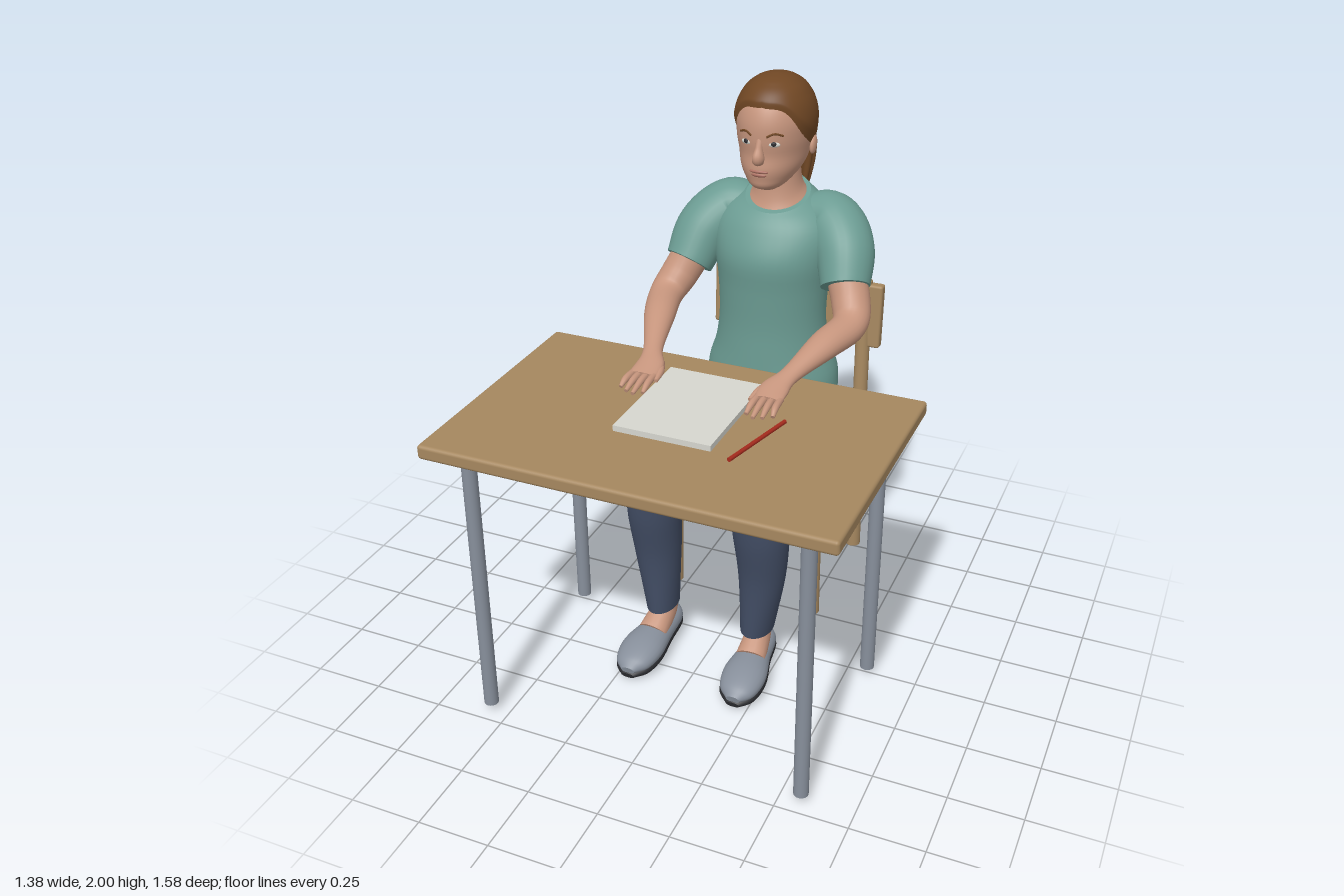
import * as THREE from 'three';
import { RoundedBoxGeometry } from 'three/addons/geometries/RoundedBoxGeometry.js';

const mat = (name, color) => {
  const m = new THREE.MeshStandardMaterial({ color });
  m.name = name;
  return m;
};

// Closed surface: rings of nu points, j counts rings; poles and doubled end rings make flat caps.
function surface(point, nu, nv) {
  const pos = [], idx = [], rings = nv + 5;
  for (let j = 0; j < rings; j++) {
    const v = THREE.MathUtils.clamp((j - 2) / nv, 0, 1);
    const s = j === 0 || j === rings - 1 ? 0 : 1;
    for (let i = 0; i < nu; i++) pos.push(...point((i / nu) * Math.PI * 2, v, s));
  }
  for (let j = 0; j < rings - 1; j++) for (let i = 0; i < nu; i++) {
    const k = (i + 1) % nu, a = j * nu + i, b = j * nu + k;
    idx.push(a, b, b + nu, a, b + nu, a + nu);
  }
  const g = new THREE.BufferGeometry();
  g.setAttribute('position', new THREE.Float32BufferAttribute(pos, 3));
  g.setIndex(idx);
  g.computeVertexNormals();
  return g;
}

// Smooth interpolation of table rows over the given times.
function sampler(times, rows) {
  const n = rows[0].length;
  const c = new THREE.CubicInterpolant(times, rows.flat(), n, new Float32Array(n));
  return t => [...c.evaluate(t)];
}

// Limb along centres: rows [x, y, z, radius across, radius towards ref].
function limb(rows, ref, nu = 20, flute = 0) {
  const n = rows.length - 1, at = sampler(rows.map((_, i) => i), rows);
  const R = new THREE.Vector3(...ref);
  return surface((a, v, s) => {
    const t = v * n, c = at(t);
    const p = at(Math.max(0, t - 0.02)), q = at(Math.min(n, t + 0.02));
    const T = new THREE.Vector3(q[0] - p[0], q[1] - p[1], q[2] - p[2]).normalize();
    const S = new THREE.Vector3().crossVectors(T, R).normalize();
    const N = new THREE.Vector3().crossVectors(S, T);
    const k = s * (1 + flute * Math.cos(9 * a));
    return new THREE.Vector3(c[0], c[1], c[2])
      .addScaledVector(S, Math.sin(a) * c[3] * k)
      .addScaledVector(N, Math.cos(a) * c[4] * k).toArray();
  }, nu, n * 7);
}

// Upright form: rows [y, centre z, front depth, back depth, half width, forward tilt].
function stackPoint(rows) {
  const at = sampler(rows.map(r => r[0]), rows);
  return (a, y, s = 1, grow = 0) => {
    const [, zc, f, b, w, tilt] = at(y), c = Math.cos(a);
    return [Math.sin(a) * (w + grow) * s, y - tilt * c * s + grow * 0.6, zc + c * ((c > 0 ? f : b) + grow) * s];
  };
}
function stack(rows, nu = 40, nv = 36) {
  const p = stackPoint(rows), y0 = rows[0][0], h = rows[rows.length - 1][0] - y0;
  return surface((a, v, s) => p(a, y0 + h * (1 - Math.cos(v * Math.PI)) / 2, s), nu, nv);
}

const HEAD = [
  [1.62, -0.41, 0.03, 0.05, 0.03, 0], [1.635, -0.42, 0.075, 0.08, 0.055, 0], [1.67, -0.45, 0.12, 0.1, 0.088, 0],
  [1.7, -0.47, 0.145, 0.12, 0.106, 0], [1.75, -0.49, 0.16, 0.14, 0.12, 0], [1.8, -0.49, 0.165, 0.15, 0.129, 0],
  [1.87, -0.49, 0.16, 0.15, 0.13, 0], [1.93, -0.488, 0.13, 0.132, 0.108, 0], [1.97, -0.487, 0.085, 0.09, 0.072, 0],
  [1.99, -0.486, 0.035, 0.038, 0.03, 0], [1.995, -0.486, 0.003, 0.003, 0.003, 0]];

export function createModel() {
  const model = new THREE.Group();
  const wood = mat('wood', 0xa5875f), metal = mat('grey blue', 0x878f9b), paper = mat('off white', 0xd6d6ce);
  const red = mat('pencil red', 0xa82c1e), skin = mat('skin', 0xc6957d), shirt = mat('teal cloth', 0x6b9b92);
  const denim = mat('navy cloth', 0x414c63), hair = mat('brown hair', 0x704724);
  const dark = mat('black rubber', 0x2b2c30), lip = mat('lip', 0xab6f61);

  const add = (name, geo, m, x = 0, y = 0, z = 0, parent = model) => {
    const mesh = new THREE.Mesh(geo, m);
    mesh.name = name;
    mesh.position.set(x, y, z);
    parent.add(mesh);
    return mesh;
  };
  const group = name => {
    const g = new THREE.Group();
    g.name = name;
    model.add(g);
    return g;
  };
  const rod = (name, from, to, r, m, parent, sides = 20) => {
    const a = new THREE.Vector3(...from), b = new THREE.Vector3(...to), d = b.clone().sub(a);
    const mesh = add(name, new THREE.CylinderGeometry(r, r, d.length(), sides), m, 0, 0, 0, parent);
    mesh.position.copy(a).add(b).multiplyScalar(0.5);
    mesh.quaternion.setFromUnitVectors(new THREE.Vector3(0, 1, 0), d.normalize());
  };
  const blob = (name, m, p, size, parent) => {
    const mesh = add(name, new THREE.SphereGeometry(1, 20, 14), m, ...p, parent);
    mesh.scale.set(...size);
    return mesh;
  };

  // Desk, paper and pencil
  const desk = group('desk');
  add('deskTop', new RoundedBoxGeometry(1.38, 0.05, 0.9, 3, 0.012), wood, 0, 1.055, 0.34, desk);
  add('modestyPanel', new THREE.BoxGeometry(1.1, 0.175, 0.015), paper, 0, 0.945, 0.022, desk);
  for (const x of [-0.57, 0.57]) for (const z of [0, 0.69])
    rod('deskLeg', [x, 0.03, z], [x, 1.035, z], 0.025, metal, desk);
  add('paperStack', new THREE.BoxGeometry(0.335, 0.02, 0.44), paper, -0.002, 1.09, 0.25, desk);
  rod('pencil', [0.318, 1.096, 0.23], [0.246, 1.096, 0.518], 0.008, red, desk, 6);

  // Chair
  const chair = group('chair');
  add('seat', new RoundedBoxGeometry(0.67, 0.06, 0.69, 3, 0.015), wood, 0, 0.62, -0.415, chair);
  add('backrest', new RoundedBoxGeometry(0.67, 0.25, 0.042, 3, 0.01), wood, 0, 1.04, -0.762, chair).rotation.x = -0.05;
  for (const s of [1, -1]) {
    rod('frontChairLeg', [s * 0.28, 0.04, -0.22], [s * 0.275, 0.6, -0.22], 0.028, wood, chair);
    rod('backChairLeg', [s * 0.28, 0.04, -0.72], [s * 0.275, 0.6, -0.72], 0.028, wood, chair);
    rod('backrestPost', [s * 0.275, 0.64, -0.728], [s * 0.262, 1.175, -0.767], 0.027, wood, chair);
  }

  // Torso, neck and hips
  const person = group('seatedPerson');
  const part = (name, geo, m) => add(name, geo, m, 0, 0, 0, person);
  part('shirtBody', stack([
    [0.85, -0.5, 0.185, 0.195, 0.25, 0.018], [0.92, -0.5, 0.18, 0.195, 0.243, 0.01], [1.0, -0.5, 0.175, 0.16, 0.217, 0],
    [1.1, -0.49, 0.16, 0.145, 0.2, 0], [1.25, -0.49, 0.165, 0.17, 0.203, 0], [1.37, -0.5, 0.18, 0.18, 0.22, 0],
    [1.47, -0.52, 0.16, 0.16, 0.222, 0.005], [1.53, -0.52, 0.132, 0.135, 0.175, 0.025],
    [1.568, -0.52, 0.112, 0.105, 0.116, 0.042]]), shirt);
  part('neck', stack([
    [1.5, -0.52, 0.115, 0.09, 0.125, 0.04], [1.55, -0.52, 0.104, 0.095, 0.11, 0.042], [1.59, -0.52, 0.086, 0.086, 0.088, 0.036],
    [1.65, -0.52, 0.076, 0.084, 0.077, 0.03], [1.76, -0.52, 0.08, 0.08, 0.08, 0]]), skin);
  part('hips', stack([
    [0.578, -0.51, 0.07, 0.07, 0.13, 0], [0.62, -0.5, 0.16, 0.155, 0.21, 0], [0.7, -0.5, 0.2, 0.195, 0.25, 0],
    [0.78, -0.5, 0.2, 0.207, 0.257, 0], [0.86, -0.5, 0.17, 0.185, 0.235, 0], [0.92, -0.5, 0.13, 0.14, 0.19, 0]]), denim);

  // Head and face
  const face = stackPoint(HEAD);
  part('head', stack(HEAD, 48, 44), skin);
  part('nose', limb([
    [0, 1.825, -0.337, 0.012, 0.008], [0, 1.78, -0.33, 0.014, 0.018], [0, 1.748, -0.323, 0.021, 0.027],
    [0, 1.73, -0.333, 0.016, 0.012]], [0, 0, 1], 14), skin);
  blob('upperLip', lip, [0, 1.7, -0.331], [0.034, 0.007, 0.009], person);
  blob('lowerLip', lip, [0, 1.688, -0.333], [0.028, 0.008, 0.01], person);

  // Hair cap from the hairline to the crown, and the tied tail
  const hairline = sampler([0, 0.7, 1.1, 1.4, 1.8, 2.5, 3.2], [[1.915], [1.895], [1.825], [1.785], [1.75], [1.695], [1.67]]);
  part('hairCap', surface((a, v, s) => {
    const [y0] = hairline(Math.min(a, 2 * Math.PI - a));
    return face(a, y0 + (1.995 - y0) * Math.sin(v * Math.PI / 2), s, 0.009 * Math.min(1, v * 8));
  }, 56, 30), hair);
  part('ponytail', limb([
    [0, 1.86, -0.61, 0.04, 0.04], [0, 1.885, -0.67, 0.034, 0.036], [0, 1.81, -0.712, 0.046, 0.045],
    [0, 1.68, -0.735, 0.058, 0.05], [0, 1.56, -0.725, 0.044, 0.036], [0, 1.44, -0.708, 0.01, 0.01]],
    [0, 1, -1], 54, 0.07), hair);

  for (const s of [1, -1]) {
    const tube = (name, rows, ref, m, nu) =>
      part(name, limb(rows.map(([x, ...r]) => [s * x, ...r]), ref, nu), m);
    const onFace = (a, y, out) => face(s * a, y, 1, out);

    // Eye, brow and ear
    blob('eyeWhite', paper, onFace(0.4, 1.798, -0.002), [0.021, 0.009, 0.006], person).rotation.y = s * 0.35;
    blob('iris', dark, onFace(0.39, 1.798, 0.002), [0.009, 0.008, 0.004], person).rotation.y = s * 0.35;
    const arch = [0.2, 0.4, 0.62].map((a, i) => new THREE.Vector3(...onFace(a, [1.823, 1.834, 1.826][i], 0)));
    part('eyebrow', new THREE.TubeGeometry(new THREE.CatmullRomCurve3(arch), 10, 0.004, 6), hair);
    blob('ear', skin, [s * 0.128, 1.76, -0.51], [0.012, 0.034, 0.022], person).rotation.x = -0.25;

    // Sleeve, arm and hand
    tube('sleeve', [
      [0.1, 1.49, -0.555, 0.08, 0.08], [0.19, 1.472, -0.55, 0.108, 0.105], [0.263, 1.405, -0.485, 0.106, 0.102],
      [0.296, 1.3, -0.41, 0.087, 0.084]], [0, 1, 1], shirt, 28);
    tube('arm', [
      [0.275, 1.36, -0.45, 0.07, 0.07], [0.325, 1.255, -0.39, 0.068, 0.066], [0.345, 1.2, -0.315, 0.062, 0.054],
      [0.305, 1.18, -0.17, 0.055, 0.046], [0.25, 1.14, 0, 0.034, 0.026], [0.225, 1.12, 0.08, 0.05, 0.022],
      [0.224, 1.11, 0.145, 0.05, 0.014]], [0, 1, 0.4], skin, 24);
    [0.225, 0.242, 0.232, 0.212].forEach((z, k) => tube('finger', [
      [0.187 + 0.025 * k, 1.11, 0.12, 0.012, 0.012], [0.185 + 0.027 * k, 1.108, 0.18, 0.012, 0.012],
      [0.183 + 0.029 * k, 1.092, z, 0.007, 0.007]], [0, 1, 0], skin, 10));
    tube('thumb', [[0.2, 1.12, 0.05, 0.016, 0.014], [0.178, 1.113, 0.1, 0.014, 0.013], [0.168, 1.106, 0.155, 0.007, 0.007]],
      [0, 1, 0], skin, 10);

    // Trouser leg, ankle and shoe
    tube('trouserLeg', [
      [0.12, 0.765, -0.5, 0.12, 0.12], [0.15, 0.78, -0.25, 0.125, 0.136], [0.168, 0.775, -0.05, 0.115, 0.115],
      [0.18, 0.735, 0.085, 0.112, 0.112], [0.2, 0.6, 0.118, 0.102, 0.092], [0.2, 0.4, 0.1, 0.084, 0.083],
      [0.185, 0.165, 0.098, 0.056, 0.082]], [0, 1, 1], denim, 28);
    tube('ankle', [[0.185, 0.21, 0.08, 0.042, 0.05], [0.186, 0.13, 0.09, 0.045, 0.058], [0.192, 0.085, 0.18, 0.055, 0.042]],
      [0, 1, 1], skin, 18);
    const shoe = [
      [0.184, 0.08, 0.012, 0.025, 0.028], [0.185, 0.08, 0.045, 0.052, 0.047], [0.19, 0.068, 0.14, 0.06, 0.047],
      [0.198, 0.062, 0.25, 0.078, 0.047], [0.202, 0.05, 0.33, 0.064, 0.036], [0.202, 0.042, 0.372, 0.025, 0.014]];
    tube('shoeUpper', shoe, [0, 1, 0], metal, 24);
    tube('shoeSole', shoe.map(([x, y, z, a, b]) => [x, y - 0.022, z, a * 1.02, b * 0.72]), [0, 1, 0], dark, 24);
  }
  return model;
}
